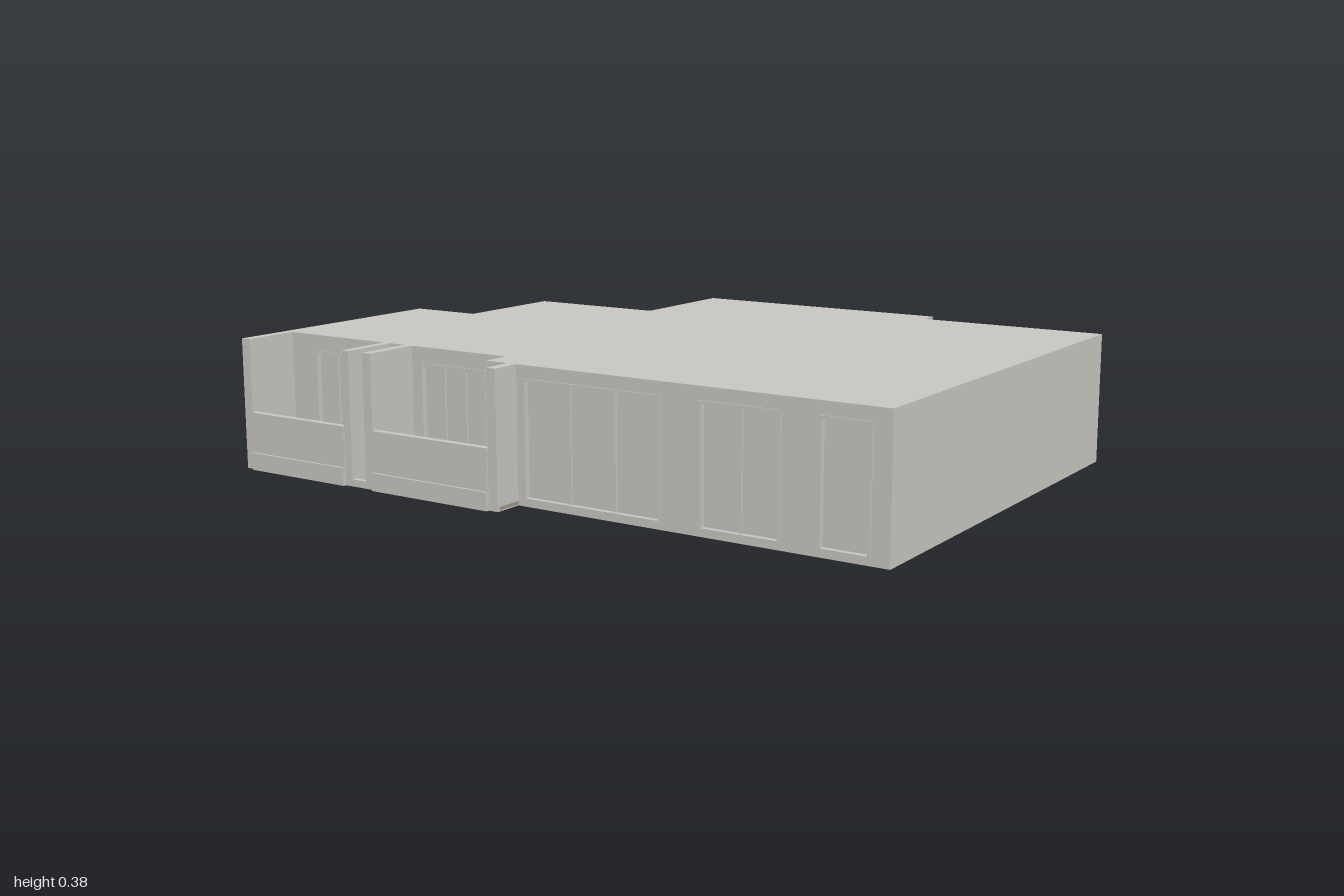
import * as THREE from 'three';

const mat = (name, color, side = THREE.FrontSide) => {
  const m = new THREE.MeshStandardMaterial({ color, side });
  m.name = name;
  return m;
};

export function createModel() {
  const house = new THREE.Group();
  house.name = 'house';
  const plaster = mat('plaster grey', 0xc8c6c0);
  const tile = mat('floor tile', 0x9b9484);
  const wood = mat('wood floor', 0x7f6243);
  const H = 0.375, ROOF = 0.36, T = 0.025;

  // Box given by its minimum and maximum corners
  const box = (name, m, x0, x1, y0, y1, z0, z1, parent = house) => {
    const mesh = new THREE.Mesh(new THREE.BoxGeometry(x1 - x0, y1 - y0, z1 - z0), m);
    mesh.position.set((x0 + x1) / 2, (y0 + y1) / 2, (z0 + z1) / 2);
    mesh.name = name;
    parent.add(mesh);
    return mesh;
  };

  // Horizontal slab from a plan outline of [x, z] points
  const slab = (name, m, pts, y0, y1) => {
    const shape = new THREE.Shape(pts.map(([x, z]) => new THREE.Vector2(x, -z)));
    const geo = new THREE.ExtrudeGeometry(shape, { depth: y1 - y0, bevelEnabled: false });
    geo.rotateX(-Math.PI / 2);
    const mesh = new THREE.Mesh(geo, m);
    mesh.position.y = y0;
    mesh.name = name;
    house.add(mesh);
  };

  // Plan, counter-clockwise from the left end of the front
  const outline = [
    [-1, 0.57], [-0.18, 0.57], [-0.18, 0.65], [1, 0.65], [1, -0.68], [0.44, -0.68],
    [0.44, -0.74], [-0.36, -0.74], [-0.36, -0.37], [-0.78, -0.37], [-0.78, -0.01], [-1, -0.01],
  ];
  // Openings per wall: [x from, x to, bottom, top, panes]; zero panes is an open doorway
  const openings = {
    0: [[-0.88, -0.65, 0.02, 0.33, 3], [-0.48, -0.25, 0.02, 0.33, 3]],
    2: [[-0.06, 0.37, 0.015, 0.34, 3], [0.48, 0.71, 0.015, 0.34, 2], [0.81, 0.95, 0.015, 0.34, 1]],
    4: [[0.78, 0.93, 0.15, 0.33, 2], [0.46, 0.57, 0.15, 0.33, 2]],
    6: [[0.12, 0.29, 0.15, 0.33, 2], [-0.18, -0.06, 0.15, 0.33, 1]],
    8: [[-0.68, -0.55, 0.012, 0.3, 0]],
  };

  // Window: frame bars around recessed panes, in wall coordinates
  const addWindow = (wall, s0, s1, y0, y1, panes) => {
    const w = new THREE.Group();
    w.name = 'window';
    wall.add(w);
    const f = 0.008;
    box('windowPane', plaster, s0, s1, y0, y1, -0.018, -0.012, w);
    for (const y of [y0, y1 - f]) box('windowRail', plaster, s0, s1, y, y + f, -0.014, 0.003, w);
    for (let i = 0; i <= panes; i++) {
      const s = s0 + (s1 - s0 - f) * i / panes;
      const front = i === 0 || i === panes ? 0.003 : -0.006;
      box('windowStile', plaster, s, s + f, y0 + f, y1 - f, -0.014, front, w);
    }
  };

  // Outer walls, one for each edge of the plan
  outline.forEach(([x0, z0], i) => {
    const [x1, z1] = outline[(i + 1) % outline.length];
    const dx = x1 - x0, dz = z1 - z0, len = Math.hypot(dx, dz);
    const wall = new THREE.Group();
    wall.name = 'outerWall' + (i + 1);
    wall.position.set(x0, 0, z0);
    wall.rotation.y = Math.atan2(-dz, dx);
    house.add(wall);
    const rect = (S, a, b, c, d) => new S([
      new THREE.Vector2(a, c), new THREE.Vector2(b, c), new THREE.Vector2(b, d), new THREE.Vector2(a, d)]);
    const shape = rect(THREE.Shape, 0, len, 0, ROOF);
    for (const [xa, xb, ya, yb, panes] of openings[i] || []) {
      const s0 = Math.min(Math.abs(xa - x0), Math.abs(xb - x0));
      const s1 = s0 + xb - xa;
      shape.holes.push(rect(THREE.Path, s0, s1, ya, yb));
      if (panes) addWindow(wall, s0, s1, ya, yb, panes);
    }
    const geo = new THREE.ExtrudeGeometry(shape, { depth: T, bevelEnabled: false });
    geo.translate(0, 0, -T);
    const mesh = new THREE.Mesh(geo, plaster);
    mesh.name = 'wallPanel';
    wall.add(mesh);
  });

  // Flat roof and tiled ground floor
  slab('roof', plaster, outline, ROOF, H);
  const floorPlan = [[-1, 0.73], [-0.08, 0.73], [-0.08, 0.65], ...outline.slice(3)]
    .map(([x, z]) => [x * 0.998, z * 0.998]);
  slab('tileFloor', tile, floorPlan, 0.003, 0.012);

  // Wooden floors of the four rooms
  for (const [x0, x1, z0, z1] of [
    [0.62, 0.975, -0.64, -0.13], [0.44, 0.975, -0.08, 0.56],
    [-0.63, -0.26, 0.16, 0.545], [-0.975, -0.65, 0.16, 0.545],
  ]) box('woodFloor', wood, x0, x1, 0.001, 0.015, z0, z1);

  // Inner partitions
  for (const [x0, x1, z0, z1] of [
    [0.6, 0.62, -0.655, -0.13], [0.44, 0.975, -0.12, -0.1], [0.42, 0.44, -0.1, 0.3],
    [-0.65, -0.63, 0.14, 0.545], [-0.975, -0.4, 0.14, 0.16], [-0.26, -0.24, 0.14, 0.57],
    [-0.34, -0.1, -0.3, -0.28], [-0.36, -0.34, -0.37, -0.12], [0.1, 0.12, -0.715, -0.4],
  ]) box('partition', plaster, x0, x1, 0.001, ROOF, z0, z1);

  // Counter and cabinets near the back door
  box('counter', plaster, -0.5, -0.38, 0.012, 0.13, -0.3, -0.05);
  box('wallCabinet', plaster, -0.42, -0.38, 0.2, 0.3, -0.3, -0.05);

  // Balcony piers
  for (const [x0, x1, z0] of [
    [-1, -0.97, 0.57], [-0.615, -0.59, 0.57], [-0.54, -0.51, 0.57], [-0.11, -0.08, 0.65],
  ]) box('balconyPier', plaster, x0, x1, 0, H, z0, 0.735);

  // Balcony parapets with a low curb in front
  for (const [x0, x1] of [[-0.97, -0.615], [-0.51, -0.11]]) {
    box('parapet', plaster, x0, x1, 0, 0.165, 0.718, 0.738);
    box('curb', plaster, x0, x1, 0, 0.05, 0.73, 0.745);
  }
  box('gapThreshold', plaster, -0.59, -0.54, 0, 0.02, 0.72, 0.735);

  return house;
}
